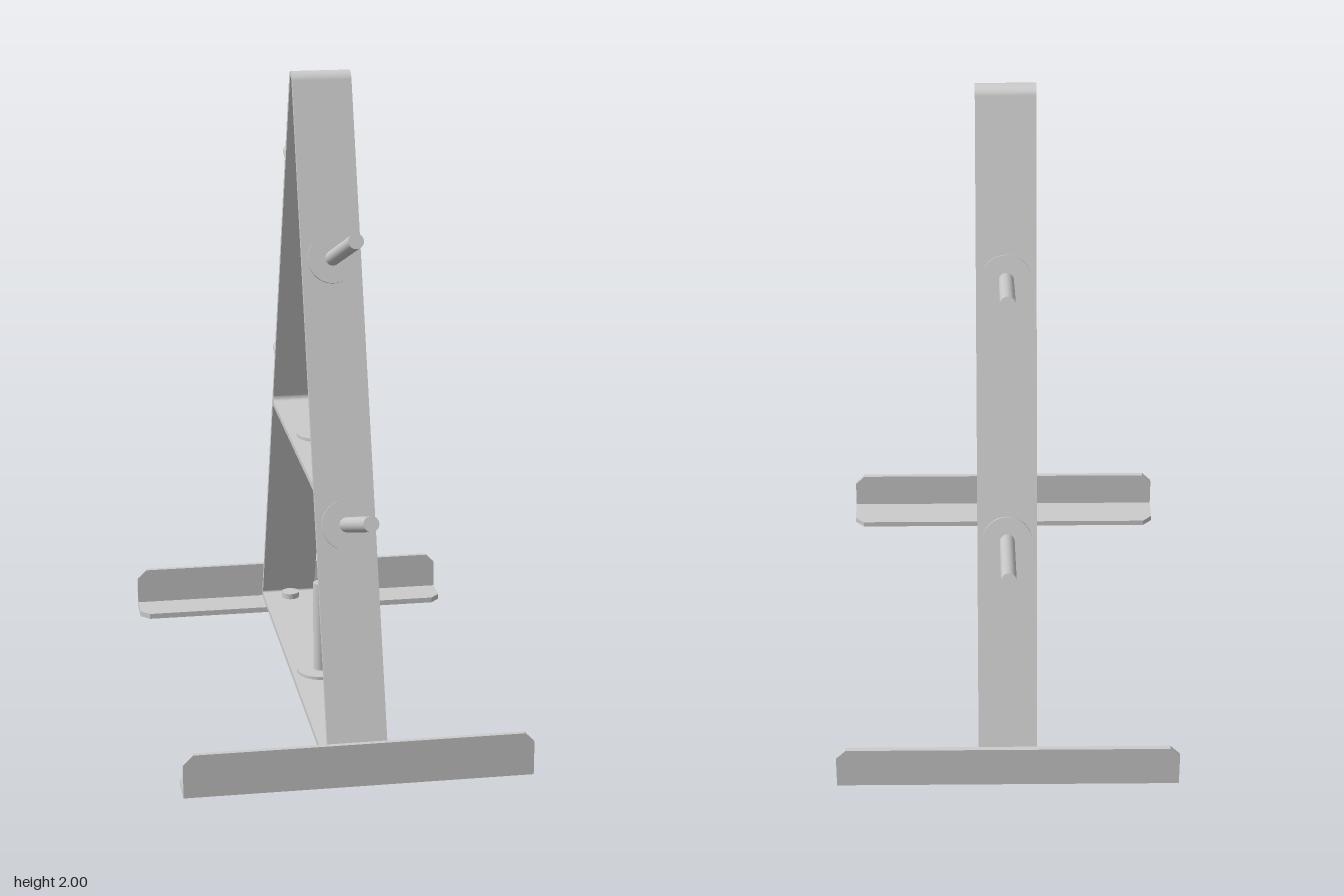
import * as THREE from 'three';

const mat = new THREE.MeshStandardMaterial({ color: 0xcccccc });
const T = 0.018;              // strip thickness
const W = 0.18;               // strip width
const A = Math.PI / 9;        // lean of the legs from vertical
const legZ = y => (2.067 - y) * Math.tan(A); // outer face of a leg

function add(parent, name, geo) {
  const m = new THREE.Mesh(geo, mat);
  m.name = name;
  parent.add(m);
  return m;
}

// Extrude a (z, y) outline along x, centred
function acrossX(shape, width) {
  return new THREE.ExtrudeGeometry(shape, { depth: width, bevelEnabled: false, curveSegments: 10 })
    .translate(0, 0, -width / 2).rotateY(-Math.PI / 2);
}

// Triangle with rounded corners, shrunk inwards by inset
function triangle(path, inset) {
  const R = 0.035 - inset, r = 0.025 - inset, z = 0.7085, y = 0.047;
  path.absarc(0, 1.965, R, A, Math.PI - A, false);
  path.absarc(-z, y, r, Math.PI - A, Math.PI * 1.5, false);
  path.absarc(z, y, r, -Math.PI / 2, A, false);
  path.closePath();
  return path;
}

// Peg standing on a strip whose outer face is at local y = 0
function makePeg(name, length, washerY, withNut) {
  const g = new THREE.Group();
  g.name = name;
  const cyl = (part, r, y0, y1) =>
    add(g, part, new THREE.CylinderGeometry(r, r, y1 - y0, 32).translate(0, (y0 + y1) / 2, 0));
  cyl('rod', 0.0225, withNut ? -0.036 : -0.01, length);
  cyl('washer', 0.075, washerY, washerY + 0.01);
  cyl('collar', withNut ? 0.032 : 0.04, 0, washerY);
  if (withNut) cyl('nut', 0.03, -0.034, -T);
  return g;
}

// Flat plate in x-y with two clipped top corners
function clippedPlate(height) {
  const w = 0.525, c = 0.03;
  const s = new THREE.Shape();
  [[-w, 0], [w, 0], [w, height - c], [w - c, height], [c - w, height], [-w, height - c]]
    .forEach(([x, y], i) => (i ? s.lineTo(x, y) : s.moveTo(x, y)));
  return new THREE.ExtrudeGeometry(s, { depth: 0.015, bevelEnabled: false });
}

export function createModel() {
  const model = new THREE.Group();
  model.name = 'weightPlateRack';

  // Bent strip frame
  const frame = triangle(new THREE.Shape(), 0);
  frame.holes.push(triangle(new THREE.Path(), T));
  add(model, 'frame', acrossX(frame, W));

  // Middle shelf, curving up into the legs at each end
  const inner = y => legZ(y) - T / Math.cos(A) + 0.003;
  const top = 0.832, low = 0.815, up = 0.862;
  const shelf = new THREE.Shape();
  shelf.moveTo(-inner(low), low);
  shelf.lineTo(inner(low), low);
  shelf.lineTo(inner(up), up);
  shelf.quadraticCurveTo(inner(top) - 0.004, top, inner(top) - 0.025, top);
  shelf.lineTo(0.025 - inner(top), top);
  shelf.quadraticCurveTo(0.004 - inner(top), top, -inner(up), up);
  shelf.closePath();
  add(model, 'shelf', acrossX(shelf, W));

  // Upright pegs
  const shelfPeg = makePeg('shelfPeg', 0.315, 0.014, true);
  shelfPeg.position.y = top;
  const basePeg = makePeg('basePeg', 0.31, 0.004, false);
  basePeg.position.y = 0.04;
  model.add(shelfPeg, basePeg);

  // Each end: two leaning pegs, an angle-iron foot and its bolt
  for (const end of ['front', 'back']) {
    const half = new THREE.Group();
    half.name = end + 'End';
    for (const [level, y] of [['lower', 0.722], ['upper', 1.469]]) {
      const peg = makePeg(level + 'Peg', 0.46, 0.014, true);
      peg.position.set(0, y, legZ(y));
      peg.rotation.x = Math.PI / 2 - A;
      half.add(peg);
    }
    const foot = new THREE.Group();
    foot.name = 'foot';
    add(foot, 'footUpright', clippedPlate(0.135)).position.z = 0.75;
    const sole = add(foot, 'footSole', clippedPlate(0.13));
    sole.rotation.x = -Math.PI / 2;
    sole.position.set(0, 0.004, 0.765);
    sole.scale.z = 1.2;
    sole.position.y = 0;
    half.add(foot);
    add(half, 'footBolt', new THREE.CylinderGeometry(0.03, 0.03, 0.045, 24)).position.set(0, 0.036, 0.67);
    if (end === 'back') half.rotation.y = Math.PI;
    model.add(half);
  }
  return model;
}
